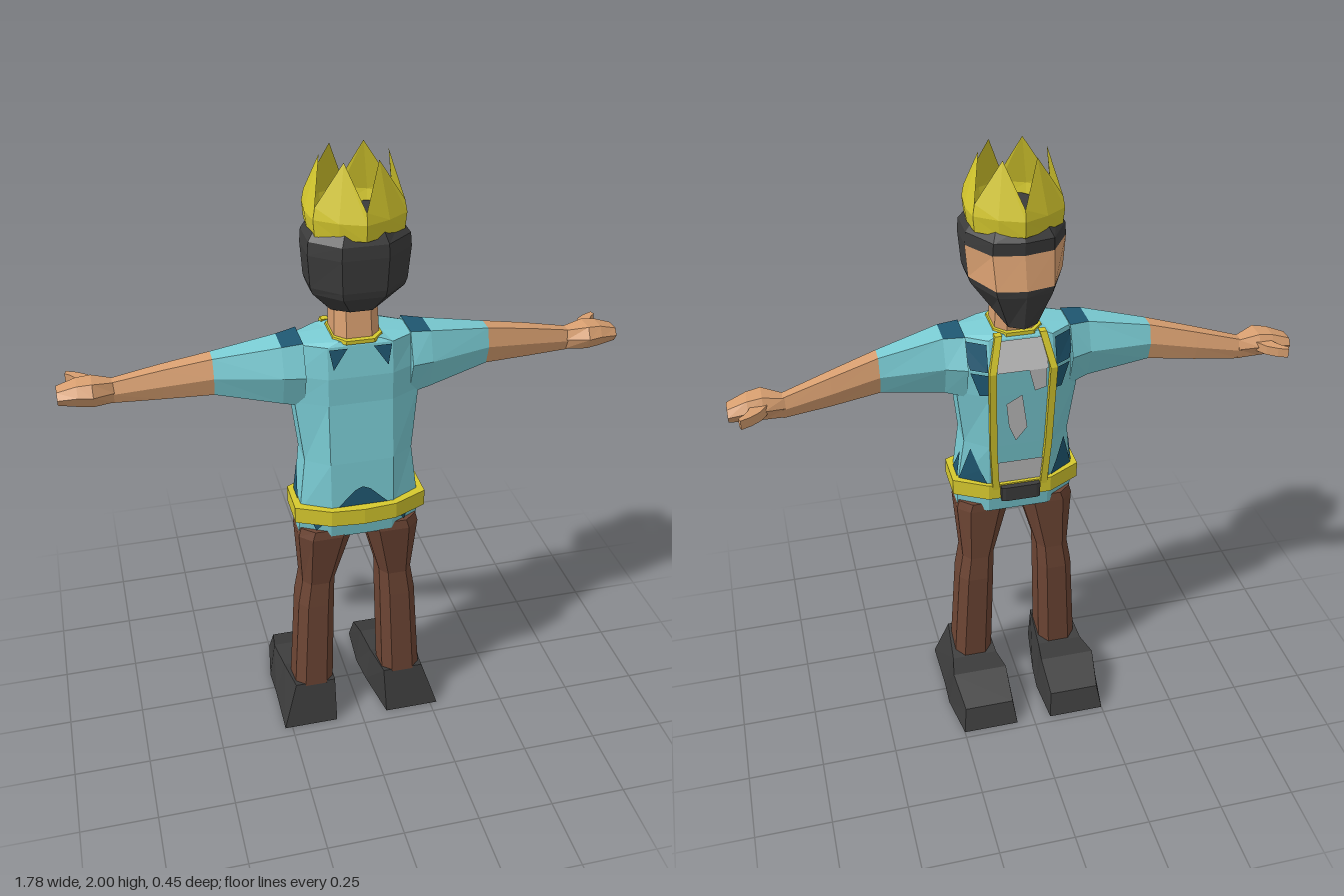
import * as THREE from 'three';

const paint = (name, color) => {
  const m = new THREE.MeshStandardMaterial({ color, flatShading: true, side: THREE.DoubleSide });
  m.name = name;
  return m;
};
const teal = paint('teal cloth', 0x7accd4), darkTeal = paint('dark teal cloth', 0x1f5872);
const grey = paint('light grey cloth', 0xc4c4c4), gold = paint('gold', 0xd6c92e);
const brown = paint('brown cloth', 0x6d4534), skin = paint('skin', 0xd89f70), charcoal = paint('charcoal', 0x3c3c3c);

// Joins rings of [x, y, z] points; pick(ring, side) selects the second material
function loft(name, rings, mats, { sx = 1, caps = true, pick = () => false } = {}) {
  const parts = [[], []], n = rings[0].length, last = rings.length - 1;
  for (let i = 0; i < last; i++) for (let j = 0; j < n; j++) {
    const k = (j + 1) % n, a = rings[i], b = rings[i + 1];
    parts[pick(i, j) ? 1 : 0].push([a[j], a[k], b[k]], [a[j], b[k], b[j]]);
  }
  if (caps) for (let j = 1; j < n - 1; j++) {
    const a = rings[0], b = rings[last];
    parts[0].push([a[0], a[j + 1], a[j]], [b[0], b[j], b[j + 1]]);
  }
  const tris = parts.flat().map(t => t.map(p => new THREE.Vector3(p[0] * sx, p[1], p[2])));
  const mid = new THREE.Vector3();
  tris.forEach(t => mid.addScaledVector(t[0], 1 / tris.length));
  const vol = tris.reduce((s, t) => {
    const [a, b, c] = t.map(p => p.clone().sub(mid));
    return s + a.dot(b.cross(c));
  }, 0);
  if (vol < 0) tris.forEach(t => t.reverse());
  const g = new THREE.BufferGeometry().setFromPoints(tris.flat());
  g.addGroup(0, parts[0].length * 3, 0);
  g.addGroup(parts[0].length * 3, parts[1].length * 3, 1);
  g.computeVertexNormals();
  const mesh = new THREE.Mesh(g, mats);
  mesh.name = name;
  return mesh;
}

// Chamfered rectangle ring at height y
function chamfer(y, x0, x1, z0, z1, c = 0.22) {
  const dx = (x1 - x0) * c, dz = (z1 - z0) * c;
  return [[x0 + dx, z1], [x1 - dx, z1], [x1, z1 - dz], [x1, z0 + dz], [x1 - dx, z0], [x0 + dx, z0],
    [x0, z0 + dz], [x0, z1 - dz]].map(([x, z]) => [x, y, z]);
}

// Six-sided arm ring at distance x
const armRing = (x, top, mid, low, z0, z1) => {
  const i = (z1 - z0) * 0.2;
  return [[x, top, z1 - i], [x, top, z0 + i], [x, mid, z0], [x, low, z0 + i], [x, low, z1 - i], [x, mid, z1]];
};

// Torso levels: y, half width, back z, front z
const levels = [[0.775, 0.195, 0.185, 0.01], [0.87, 0.193, 0.2, -0.002], [1.05, 0.172, 0.188, -0.022],
  [1.25, 0.195, 0.168, -0.043], [1.34, 0.2, 0.168, -0.052], [1.44, 0.19, 0.155, -0.025], [1.452, 0.08, 0.145, -0.015]];
function torsoRing([y, w, zb, zf], grow = 0) {
  const f = Math.min(0.1, w * 0.8) + grow * 0.4, s = w + grow;
  const half = [[f, zb + grow], [s, zb - 0.05 + grow], [s, zf + 0.06 - grow], [f, zf - grow]];
  return [...half, ...half.slice().reverse().map(([x, z]) => [-x, z])].map(([x, z]) => [x, y, z]);
}
function levelAt(y) {
  const i = Math.max(1, levels.findIndex(l => l[0] >= y)), a = levels[i - 1], b = levels[i];
  const t = (y - a[0]) / (b[0] - a[0]);
  return a.map((v, k) => v + (b[k] - v) * t);
}

// Thin cloth patch on the torso; points are [position round the ring, y]
function patch(name, pts, mat, push = 0.005) {
  const seg = Math.floor(pts.reduce((s, p) => s + p[0], 0) / pts.length);
  const at = pts.map(([s, y]) => {
    const r = torsoRing(levelAt(y)), a = r[seg % 8], b = r[(seg + 1) % 8], t = s - seg;
    const dx = b[0] - a[0], dz = b[2] - a[2], l = Math.hypot(dx, dz);
    return new THREE.Vector3(a[0] + dx * t - dz / l * push, y, a[2] + dz * t + dx / l * push);
  });
  const tris = [];
  for (let i = 1; i < at.length - 1; i++) tris.push(at[0], at[i], at[i + 1]);
  const g = new THREE.BufferGeometry().setFromPoints(tris);
  g.computeVertexNormals();
  const mesh = new THREE.Mesh(g, mat);
  mesh.name = name;
  return mesh;
}

export function createModel() {
  const model = new THREE.Group();
  model.name = 'crowned figure';
  const add = (...m) => model.add(...m);

  // Shirt, collar, belt and buckle
  add(loft('shirt', levels.map(l => torsoRing(l)), teal));
  add(loft('collar', [[1.446, 0.078], [1.458, 0.075]].map(([y, w]) => chamfer(y, -w, w, -0.022, 0.16)), gold));
  const beltRing = y => {
    const r = torsoRing([y, 0.2, 0.207, -0.006], 0.012);
    return [...r, [0, y, 0.228]];
  };
  add(loft('belt', [0.842, 0.897].map(beltRing), gold));
  add(loft('buckle', [0.84, 0.892].map(y => chamfer(y, -0.065, 0.065, -0.037, 0, 0.1)), charcoal));

  // Undershirt showing down the open front
  const panel = (name, y0, y1, mat, a = 3.1, b = 3.9) =>
    add(patch(name, [[a, y0], [b, y0], [b, y1], [a, y1]], mat));
  panel('undershirtTop', 1.34, 1.438, grey);
  panel('undershirtHem', 0.9, 0.985, grey);
  add(patch('undershirtPatch', [[3.25, 1.22], [3.5, 1.25], [3.6, 1.12], [3.42, 1.07], [3.3, 1.13]], grey));
  add(patch('undershirtPatch', [[3.6, 1.34], [3.88, 1.34], [3.88, 1.27], [3.7, 1.26]], grey));

  // Dark patches, mirrored left and right
  const spots = [
    [[7.7, 1.435], [7.98, 1.435], [7.92, 1.37]],
    [[2.15, 1.43], [2.95, 1.43], [2.95, 1.345], [2.45, 1.345]],
    [[2.45, 1.335], [2.95, 1.335], [2.95, 1.26], [2.7, 1.255]],
    [[2.02, 0.9], [2.95, 0.9], [2.7, 0.95], [2.3, 1.03]],
    [[1.25, 0.9], [1.98, 0.9], [1.85, 1.0]],
    [[0.2, 0.838], [0.6, 0.838], [0.45, 0.8]],
  ];
  for (const s of spots) add(patch('darkPatch', s, darkTeal),
    patch('darkPatch', s.map(([u, y]) => [15 - u, y]), darkTeal));
  add(patch('backPatch', [[7.1, 0.9], [7.9, 0.9], [7.62, 0.955], [7.5, 0.965], [7.38, 0.955]], darkTeal));

  for (const sx of [1, -1]) {
    const o = { sx };
    // Gold trim beside the opening
    const trim = [[1.455, 0.07, -0.018], [1.345, 0.096, -0.056], [1.05, 0.09, -0.025], [0.88, 0.08, -0.008]];
    add(loft('frontTrim', trim.map(([y, x, z]) => chamfer(y, x - 0.011, x + 0.011, z - 0.013, z + 0.012, 0)), gold, o));

    // Sleeve, with a dark band over the shoulder
    const cuff = armRing(0.43, 1.403, 1.345, 1.283, 0, 0.09);
    add(loft('sleeve', [armRing(0.165, 1.446, 1.35, 1.235, -0.035, 0.16),
      armRing(0.23, 1.44, 1.35, 1.25, -0.01, 0.15), cuff], [teal, darkTeal], { sx, pick: (i, j) => i === 0 && j === 0 }));

    // Forearm, fist and thumb
    add(loft('forearm', [cuff, armRing(0.58, 1.368, 1.32, 1.271, -0.018, 0.055),
      armRing(0.73, 1.33, 1.295, 1.262, -0.032, 0.022)], skin, o));
    add(loft('hand', [armRing(0.72, 1.33, 1.3, 1.264, -0.032, 0.022), armRing(0.785, 1.345, 1.31, 1.27, -0.05, 0.058),
      armRing(0.83, 1.34, 1.31, 1.272, -0.05, 0.048), armRing(0.89, 1.32, 1.3, 1.277, -0.045, 0.03)], skin, o));
    const thumb = [[0.77, 0.815, -0.03], [0.795, 0.83, -0.068], [0.825, 0.845, -0.09], [0.855, 0.86, -0.103]];
    add(loft('thumb', thumb.map(([a, b, z]) =>
      [[a, 1.295, z - 0.004], [b, 1.295, z + 0.012], [b, 1.325, z + 0.012], [a, 1.325, z - 0.004]]), skin, o));

    // Trouser leg
    const leg = [[0.8, 0.01, 0.19, 0.02, 0.183], [0.77, 0.022, 0.198, 0.018, 0.187], [0.57, 0.077, 0.185, 0.02, 0.157],
      [0.48, 0.08, 0.2, 0.014, 0.162], [0.12, 0.09, 0.222, 0.025, 0.175]];
    add(loft('trouserLeg', leg.map(l => chamfer(...l)), brown, o));

    // Shoe: floor z, top z, top y, floor x range, top x range
    const shoe = [[0.21, 0.172, 0.155, 0.09, 0.275, 0.088, 0.225], [0.03, 0.02, 0.122, 0.06, 0.272, 0.08, 0.238],
      [-0.07, -0.075, 0.135, 0.05, 0.275, 0.066, 0.255], [-0.225, -0.195, 0.08, 0.06, 0.25, 0.07, 0.238]];
    add(loft('shoe', shoe.map(([zf, zt, y, a, b, c, d]) =>
      [[a, 0, zf], [b, 0, zf], [d, y, zt], [c, y, zt]]), charcoal, o));
  }

  // Neck
  add(loft('neck', [chamfer(1.44, -0.07, 0.07, -0.005, 0.145), chamfer(1.58, -0.065, 0.065, -0.02, 0.125)], skin));

  // Head: hair and beard with the face left bare; y, half width, back z, front z, tilt
  const headRing = ([y, w, zb, zf, tilt = 0]) => {
    const half = [[0.45 * w, zb], [w, zb - 0.07], [w, 0.035], [0.6 * w, zf + 0.018]];
    return [...half, [0, zf], ...half.slice().reverse().map(([x, z]) => [-x, z])].map(([x, z]) => [x, y + tilt * z, z]);
  };
  const head = [[1.51, 0.075, 0.165, -0.07, 0.27], [1.61, 0.138, 0.203, -0.102, 0], [1.632, 0.145, 0.208, -0.104],
    [1.735, 0.153, 0.215, -0.08], [1.775, 0.15, 0.213, -0.084], [1.81, 0.125, 0.195, -0.055]];
  add(loft('head', head.map(headRing), [charcoal, skin], { pick: (i, j) => i === 2 && j >= 2 && j <= 5 }));

  // Crown with six inward-leaning points
  const crownRing = (yPoint, rPoint, yDip, rDip) => Array.from({ length: 12 }, (_, i) => {
    const a = i * Math.PI / 6, r = i % 2 ? rDip : rPoint;
    return [r * Math.cos(a), i % 2 ? yDip : yPoint, 0.07 + r * Math.sin(a)];
  });
  add(loft('crown', [crownRing(1.79, 0.138, 1.79, 0.152), crownRing(1.84, 0.145, 1.84, 0.157),
    crownRing(2, 0.1, 1.875, 0.15)], gold, { caps: false }));

  return model;
}
